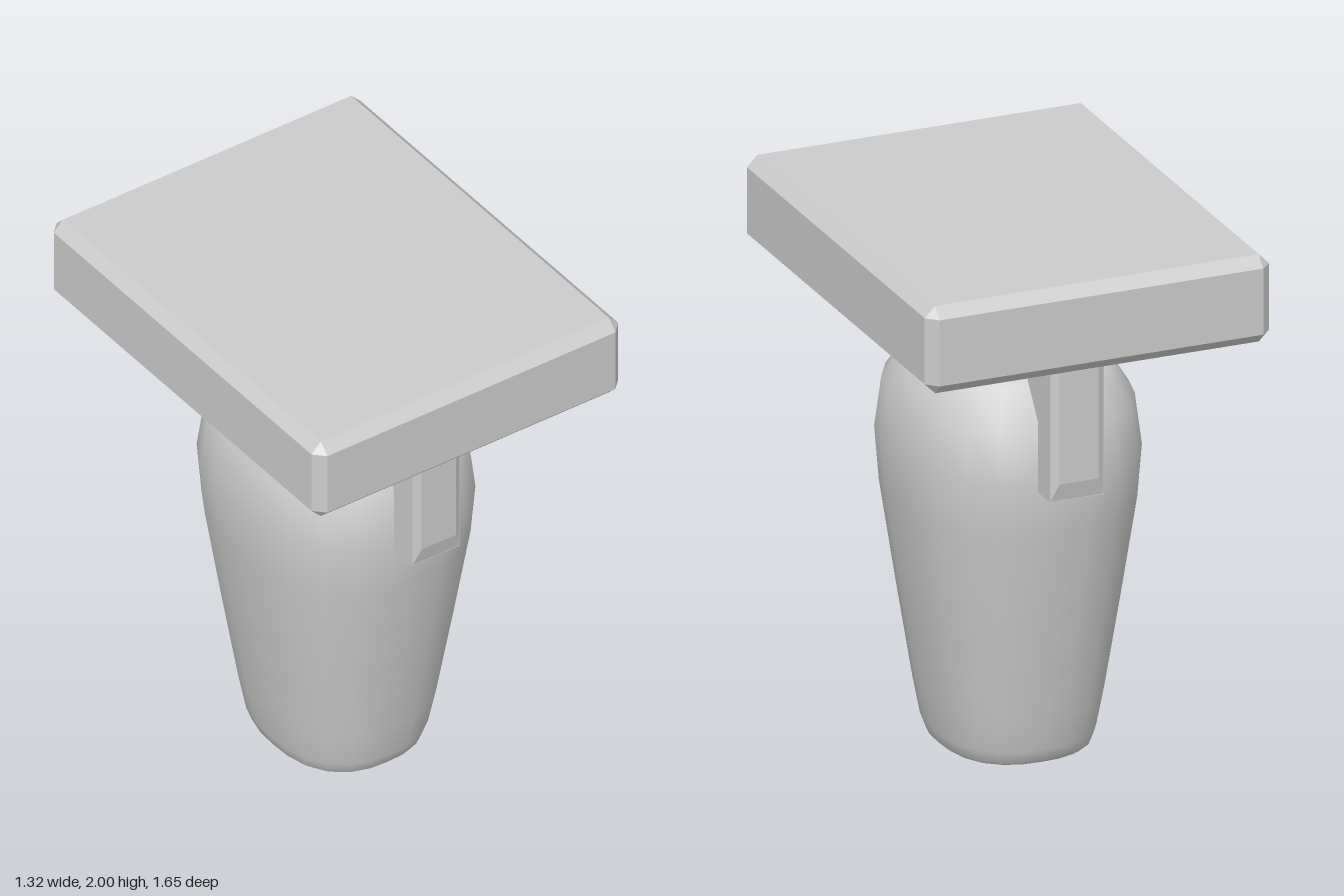
import * as THREE from 'three';
import { mergeVertices } from 'three/addons/utils/BufferGeometryUtils.js';
import { ConvexGeometry } from 'three/addons/geometries/ConvexGeometry.js';

const material = new THREE.MeshStandardMaterial({ color: 0xcccccc });
const SIGNS = [-1, 1];

function part(name, geometry) {
  const mesh = new THREE.Mesh(geometry, material);
  mesh.name = name;
  return mesh;
}

// Box with every edge chamfered, as the hull of its 24 corners
function chamferBox(w, h, d, c) {
  const pts = [];
  for (const i of SIGNS) for (const j of SIGNS) for (const k of SIGNS) {
    const [x, y, z] = [w / 2, h / 2, d / 2];
    for (const [a, b, e] of [[0, c, c], [c, 0, c], [c, c, 0]]) {
      pts.push(new THREE.Vector3(i * (x - a), j * (y - b), k * (z - e)));
    }
  }
  return new ConvexGeometry(pts);
}

// Tapered body: a lathe pushed into a softly squared oval section
function bodyGeometry() {
  const profile = [
    [0, 0.05], [0.13, 0.045], [0.2, 0.025], [0.235, 0.004], [0.255, 0], [0.27, 0.012],
    [0.287, 0.06], [0.312, 0.2], [0.365, 0.55], [0.42, 0.93], [0.435, 1.13],
    [0.412, 1.32], [0.332, 1.455], [0.185, 1.515], [0, 1.525],
  ].map(([x, y]) => new THREE.Vector2(x, y));
  let geo = new THREE.LatheGeometry(profile, 24);
  const pos = geo.attributes.position;
  const n = 2.5;
  for (let i = 0; i < pos.count; i++) {
    const x = pos.getX(i), z = pos.getZ(i);
    const r = Math.hypot(x, z);
    if (r < 1e-6) continue;
    const k = Math.pow(Math.abs(x / r) ** n + Math.abs(z / r) ** n, -1 / n);
    pos.setX(i, x * k);
    pos.setZ(i, z * k * 1.16);
  }
  geo.deleteAttribute('uv');
  geo.deleteAttribute('normal');
  geo = mergeVertices(geo, 1e-4);
  geo.computeVertexNormals();
  return geo;
}

// Arch-shaped yoke, drawn in the z-y plane and extruded across x
function yokeGeometry() {
  const half = [[0.36, 1.57], [0.5, 1.38], [0.5, 1.11], [0.61, 1.11], [0.61, 1.68]];
  const mirrored = half.map(([z, y]) => [-z, y]).reverse();
  const shape = new THREE.Shape([...half, ...mirrored].map(([z, y]) => new THREE.Vector2(z, y)));
  const geo = new THREE.ExtrudeGeometry(shape, { depth: 0.206, bevelEnabled: false });
  geo.translate(0, 0, -0.103);
  geo.rotateY(-Math.PI / 2);
  return geo;
}

// Shallow bevelled face on the outside of each yoke leg
function padGeometry(side) {
  const pts = [];
  for (const s of SIGNS) {
    for (const [x, y, z] of [[0.103, 1.11, 0.609], [0.103, 1.67, 0.609], [0.075, 1.18, 0.626], [0.075, 1.6, 0.626]]) {
      pts.push(new THREE.Vector3(s * x, y, side * z));
    }
  }
  return new ConvexGeometry(pts);
}

export function createModel() {
  const group = new THREE.Group();
  group.name = 'mallet';

  group.add(part('body', bodyGeometry()));

  const yoke = new THREE.Group();
  yoke.name = 'yoke';
  yoke.add(part('yokeArch', yokeGeometry()));
  yoke.add(part('frontYokeFace', padGeometry(1)));
  yoke.add(part('backYokeFace', padGeometry(-1)));
  group.add(yoke);

  const slab = part('topSlab', chamferBox(1.32, 0.33, 1.65, 0.04));
  slab.position.y = 1.835;
  group.add(slab);

  return group;
}
